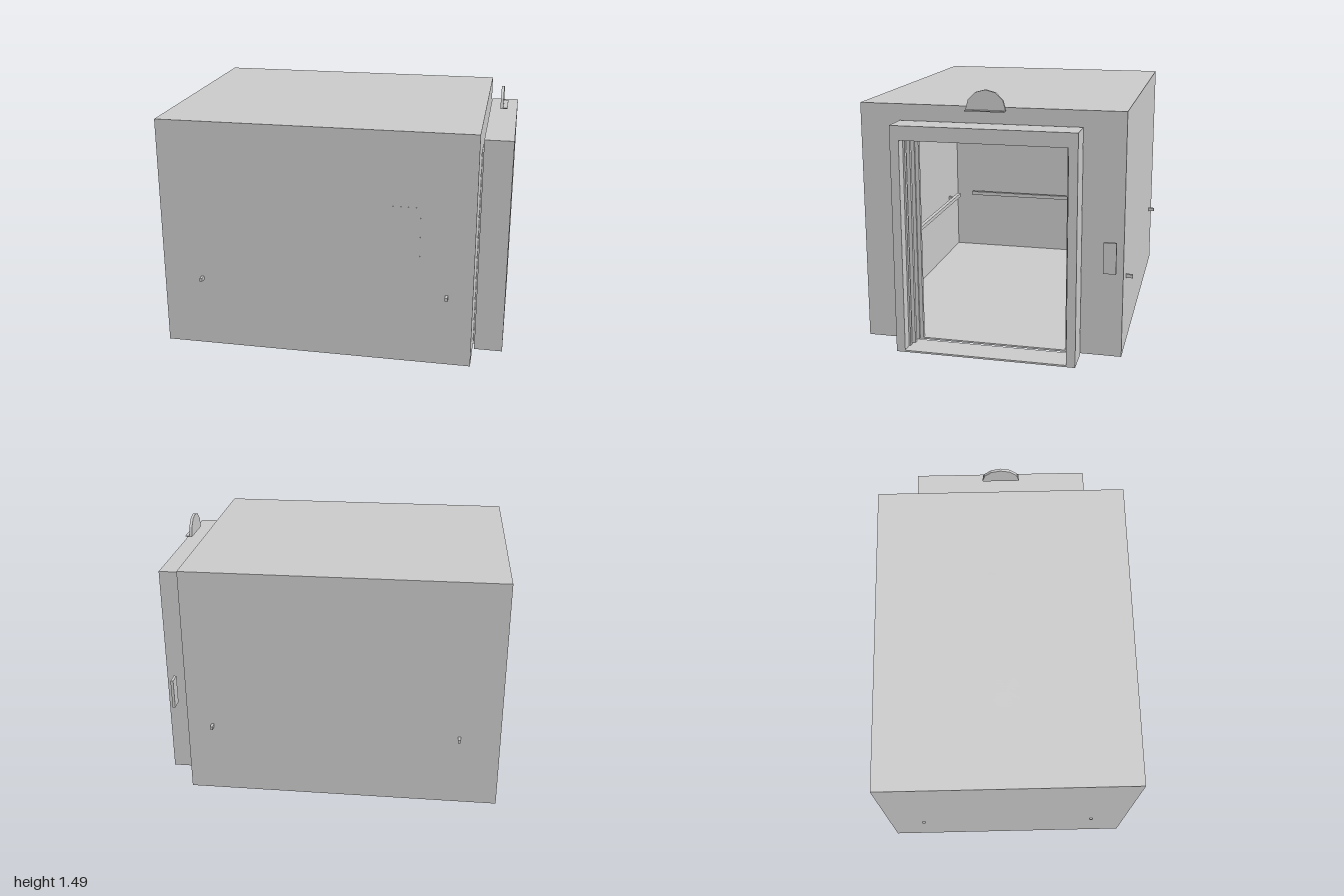
import * as THREE from 'three';

const material = new THREE.MeshStandardMaterial({ color: 0xcccccc, flatShading: true, side: THREE.DoubleSide });

export function createModel() {
  const model = new THREE.Group();
  model.name = 'elevator';

  const group = (name) => {
    const g = new THREE.Group();
    g.name = name;
    model.add(g);
    return g;
  };
  const add = (parent, name, geometry) => {
    const mesh = new THREE.Mesh(geometry, material);
    mesh.name = name;
    parent.add(mesh);
    return mesh;
  };
  // Box given by its limits on each axis
  const box = (parent, name, [x0, x1], [y0, y1], [z0, z1]) => {
    const mesh = add(parent, name, new THREE.BoxGeometry(x1 - x0, y1 - y0, z1 - z0));
    mesh.position.set((x0 + x1) / 2, (y0 + y1) / 2, (z0 + z1) / 2);
    return mesh;
  };
  // Limits mirrored to the chosen side
  const sided = (s, a, b) => (s > 0 ? [a, b] : [-b, -a]);

  // Cabin shell with a doorway in its +x wall
  const t = 0.01;
  const cabin = group('cabin');
  box(cabin, 'floor', [-0.99, 0.825], [0.01, 0.02], [-0.74, 0.74]);
  box(cabin, 'roof', [-0.99, 0.825], [1.375, 1.385], [-0.74, 0.74]);
  box(cabin, 'backWall', [-0.99, -0.99 + t], [0.02, 1.375], [-0.74, 0.74]);
  box(cabin, 'doorHeader', [0.825 - t, 0.825], [1.21, 1.375], [-0.74, 0.74]);
  for (const s of [1, -1]) {
    box(cabin, 'sideWall', [-0.99 + t, 0.825], [0.02, 1.375], sided(s, 0.74 - t, 0.74));
    box(cabin, 'frontWall', [0.825 - t, 0.825], [0.02, 1.21], sided(s, 0.455, 0.74 - t));
  }

  // Ceiling lamps
  for (const x of [-0.44, 0.26]) {
    add(cabin, 'ceilingLamp', new THREE.CylinderGeometry(0.09, 0.09, 0.02, 24)).position.set(x, 1.375, 0);
  }

  // Mirror and control panel
  box(cabin, 'mirror', [-0.99, -0.975], [0.49, 1.21], [-0.5, 0.5]);
  box(cabin, 'controlPanel', [0.34, 0.52], [0.66, 0.957], [0.715, 0.741]);

  // Handrails, with brackets passing through the walls
  const rails = group('handrails');
  box(rails, 'backRail', [-0.945, -0.92], [0.425, 0.45], [-0.6, 0.6]);
  for (const s of [1, -1]) {
    box(rails, 'sideRail', [-0.85, 0.76], [0.425, 0.45], sided(s, 0.67, 0.695));
    box(rails, 'backBracket', [-1, -0.93], [0.425, 0.445], sided(s, 0.52, 0.538));
    for (const x of [-0.757, 0.677]) {
      box(rails, 'sideBracket', [x - 0.008, x + 0.008], [0.425, 0.445], sided(s, 0.68, 0.778));
    }
  }

  // Open sliding doors: pairs of panels stacked at each side
  const doors = group('doors');
  const edges = { 1: [0.41, 0.43, 0.437, 0.45], '-1': [0.425, 0.431, 0.44, 0.455] };
  for (const s of [1, -1]) {
    const e = edges[s];
    box(doors, 'cabinDoor', [0.802, 0.824], [0.015, 1.205], sided(s, e[0], 0.66));
    box(doors, 'cabinDoorSlider', [0.826, 0.836], [0.01, 1.21], sided(s, e[1], 0.46));
    box(doors, 'landingDoorInner', [0.865, 0.89], [0.01, 1.205], sided(s, e[2], 0.5));
    box(doors, 'landingDoorOuter', [0.91, 0.935], [0.01, 1.205], sided(s, e[3], 0.5));
  }
  box(doors, 'doorTrack', [0.826, 0.836], [1.2, 1.212], [-0.46, 0.46]);

  // Landing door frame
  const frame = group('landingFrame');
  const depth = [0.835, 1];
  for (const s of [1, -1]) {
    box(frame, 'jamb', depth, [0, 1.215], sided(s, 0.46, 0.51));
  }
  box(frame, 'lintel', depth, [1.215, 1.295], [-0.51, 0.51]);
  box(frame, 'sill', depth, [0, 0.01], [-0.46, 0.46]);

  // Call plate beside the frame
  box(model, 'callPlate', [0.904, 0.92], [0.522, 0.695], [-0.71, -0.64]);

  // Half-round floor indicator with its ledge
  const indicator = group('floorIndicator');
  const dial = add(indicator, 'dial', new THREE.CylinderGeometry(0.11, 0.11, 0.016, 6, 1, false, 0, Math.PI));
  dial.rotation.z = Math.PI / 2;
  // Lay the half disc upright with its flat edge down
  dial.geometry.rotateY(-Math.PI / 2 + Math.PI / 2);
  dial.position.set(0.912, 1.38, 0);
  box(indicator, 'ledge', [0.904, 0.945], [1.376, 1.382], [-0.108, 0.108]);

  return model;
}
